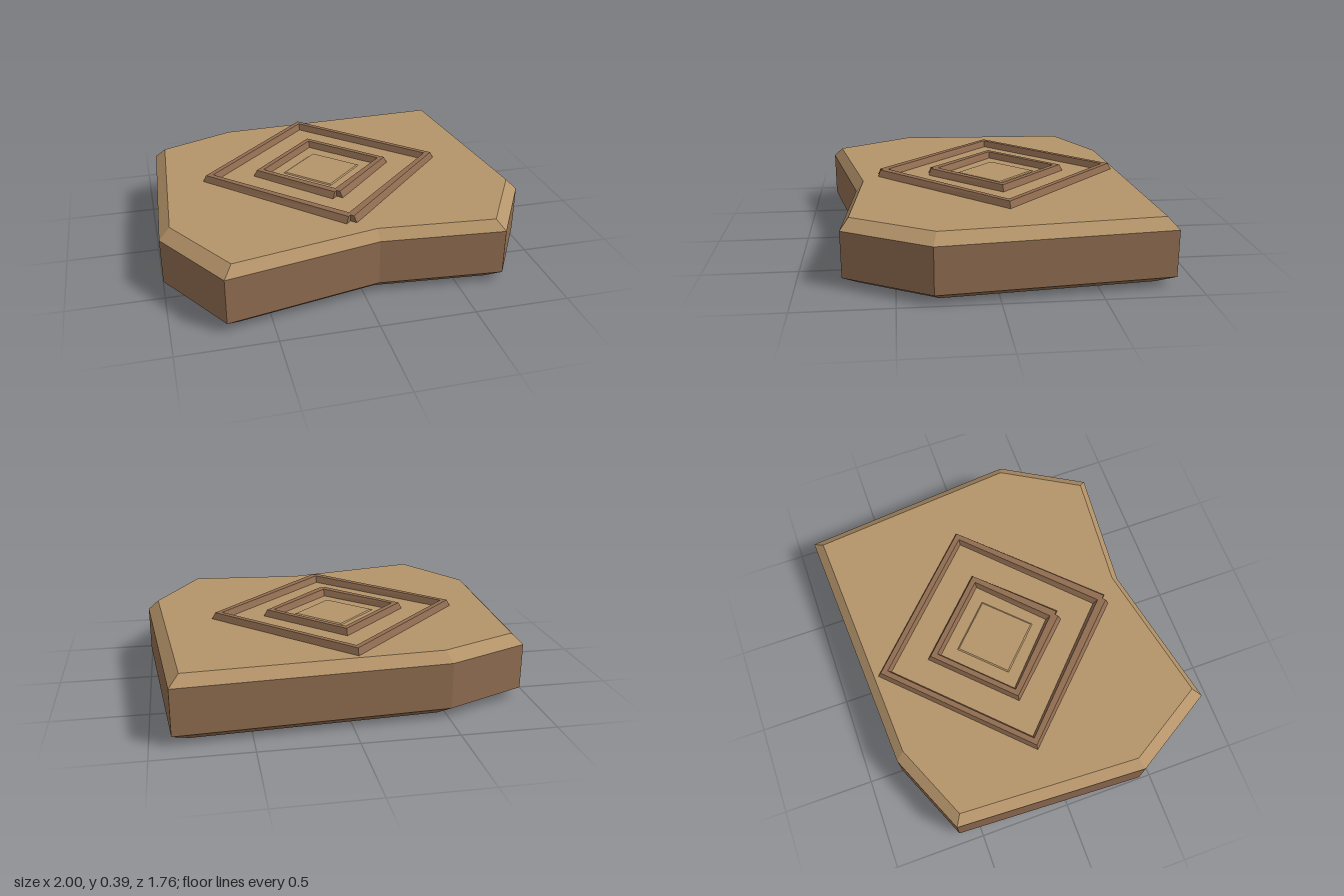
import * as THREE from 'three';

const tan = new THREE.MeshStandardMaterial({ color: 0xb5946a, flatShading: true });
tan.name = 'tan stone';
const brown = new THREE.MeshStandardMaterial({ color: 0x8f6c50, flatShading: true });
brown.name = 'brown stone';

// Rock outline as x, z corners, clockwise from above
const outline = [
  [-0.95, -0.62], [-0.51, -0.81], [0.89, -0.885], [1.0, 0.32],
  [0.74, 0.765], [0.08, 0.71], [-0.73, 0.88], [-1.0, 0.43],
];
const diamond = [[0, -1], [1, 0], [0, 1], [-1, 0]];
const CX = -0.036, CZ = -0.083;

const level = (pts, scale, y) => pts.map(([x, z]) => new THREE.Vector3(x * scale, y, z * scale));

// Triangles joining consecutive loops of points
function walls(loops, closed) {
  const tris = [];
  for (let i = 0; i < loops.length - 1; i++) {
    const lo = loops[i], hi = loops[i + 1], n = lo.length;
    for (let j = 0; j < (closed ? n : n - 1); j++) {
      const k = (j + 1) % n;
      tris.push(lo[j], hi[j], lo[k], lo[k], hi[j], hi[k]);
    }
  }
  return tris;
}

// Flat face closing a loop, facing up or down
function cap(loop, up) {
  const flat = loop.map((p) => new THREE.Vector2(p.x, p.z));
  return THREE.ShapeUtils.triangulateShape(flat, []).flatMap(([a, b, c]) =>
    up ? [loop[a], loop[c], loop[b]] : [loop[a], loop[b], loop[c]]);
}

function makeMesh(name, tris, material) {
  const geometry = new THREE.BufferGeometry().setFromPoints(tris);
  geometry.computeVertexNormals();
  const mesh = new THREE.Mesh(geometry, material);
  mesh.name = name;
  return mesh;
}

// Raised diamond frame with square-cut ends meeting at the front corner
function makeFrame(name, size) {
  const s = Math.SQRT1_2;
  const path = [[0, 1], [-1, 0], [0, -1], [1, 0], [0, 1]];
  const outward = [[-s, s], [-1, 0], [0, -1], [1, 0], [s, s]];
  const profile = [[0.04, 0.352], [0.02, 0.39], [-0.02, 0.39], [-0.04, 0.352]];
  const loops = profile.map(([w, y]) => path.map(([x, z], i) =>
    new THREE.Vector3(x * size + outward[i][0] * w, y, z * size + outward[i][1] * w)));
  const [a, b, c, d] = loops.map((l) => l[0]);
  const [e, f, g, h] = loops.map((l) => l[4]);
  const tris = [...walls(loops, false), a, c, b, a, d, c, e, f, g, e, g, h];
  const mesh = makeMesh(name, tris, brown);
  mesh.position.set(CX, 0, CZ);
  return mesh;
}

export function createModel() {
  const group = new THREE.Group();
  group.name = 'carvedSlab';

  // Slab body with bevelled underside
  const foot = level(outline, 0.905, 0);
  const low = level(outline, 1, 0.055);
  const high = level(outline, 1, 0.3);
  const top = level(outline, 0.942, 0.355);
  group.add(makeMesh('slabBody', [...walls([foot, low, high], true), ...cap(foot, false)], brown));

  // Paler top with its bevel
  group.add(makeMesh('slabTop', [...walls([high, top], true), ...cap(top, true)], tan));

  // Carved diamond frames
  group.add(makeFrame('outerFrame', 0.643), makeFrame('innerFrame', 0.356));

  // Low diamond plate in the middle
  const plateBase = level(diamond, 0.224, 0.354);
  const plateTop = level(diamond, 0.212, 0.36);
  const plate = makeMesh('centrePlate', [...walls([plateBase, plateTop], true), ...cap(plateTop, true)], tan);
  plate.position.set(CX, 0, CZ);
  group.add(plate);

  return group;
}
